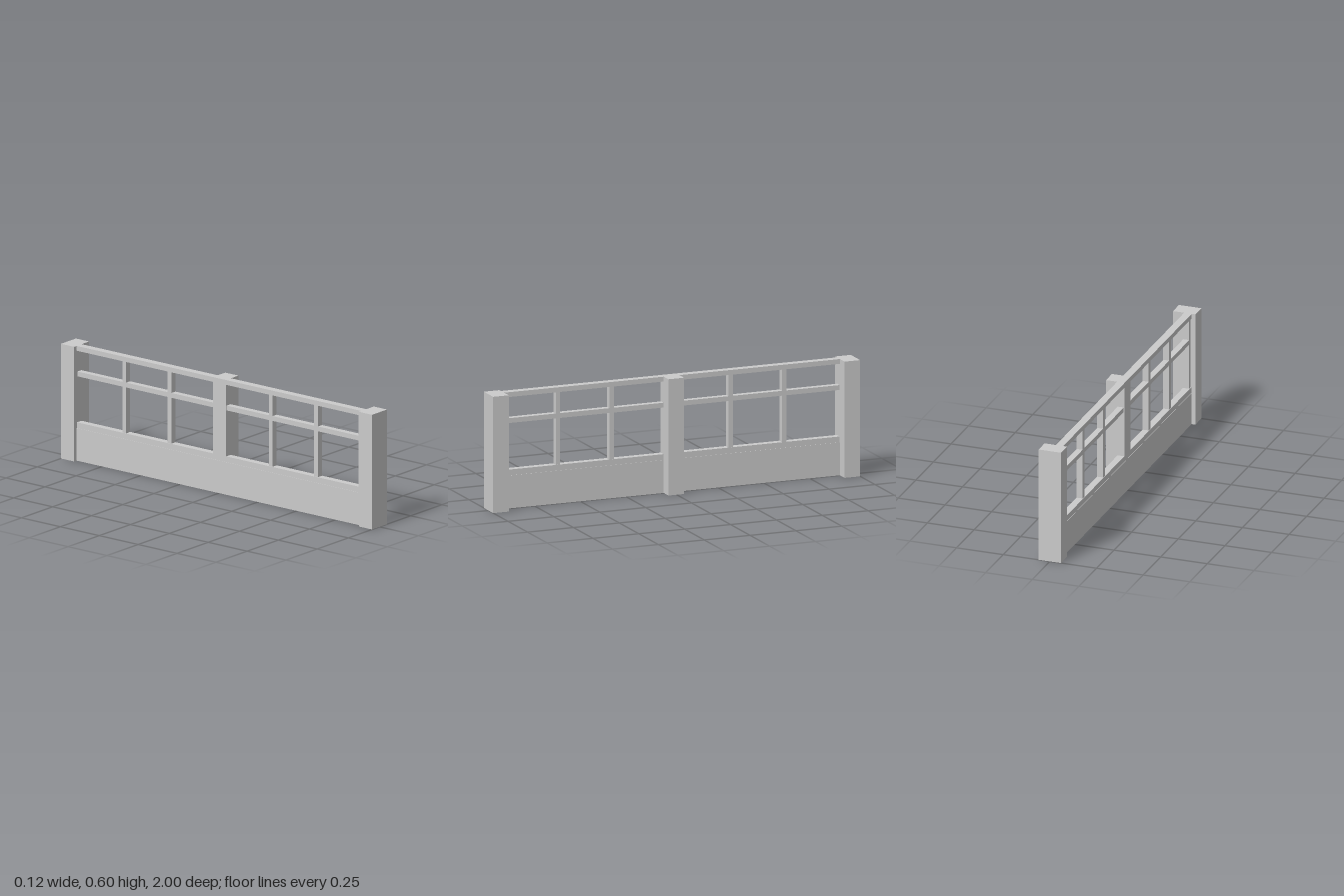
import * as THREE from 'three';

export function createModel() {
  const group = new THREE.Group();
  const material = new THREE.MeshStandardMaterial({ color: 0xcccccc, flatShading: true });

  // Box given by its min and max on each axis
  const box = (name, [x0, x1], [y0, y1], [z0, z1]) => {
    const mesh = new THREE.Mesh(new THREE.BoxGeometry(x1 - x0, y1 - y0, z1 - z0), material);
    mesh.position.set((x0 + x1) / 2, (y0 + y1) / 2, (z0 + z1) / 2);
    mesh.name = name;
    group.add(mesh);
  };

  const wall = [-0.04, 0];
  const bar = [-0.035, -0.003];
  const post = [-0.04, 0.045];
  const end = 0.915;

  // Posts: one at each end, one on the +x side in the middle
  box('endPostFront', [-0.06, 0.06], [0, 0.6], [end, 1]);
  box('endPostBack', [-0.06, 0.06], [0, 0.6], [-1, -end]);
  box('middlePost', [0, 0.06], [0, 0.6], post);

  // Solid lower panel and the stile behind the middle post
  box('lowerPanel', wall, [0, 0.17], [-end, end]);
  box('middleStile', wall, [0.2, 0.575], post);

  // Horizontal rails
  box('sillRail', [-0.038, -0.002], [0.17, 0.2], [-end, end]);
  box('topRail', wall, [0.575, 0.6], [-end, end]);
  for (const [z0, z1] of [[-end, post[0]], [post[1], end]]) {
    box('middleRail', bar, [0.44, 0.465], [z0, z1]);
  }

  // Upright bars between the sill and the top rail
  for (const z of [-0.613, -0.322, 0.328, 0.62]) {
    box('uprightBar', bar, [0.2, 0.575], [z - 0.012, z + 0.012]);
  }
  box('endStile', bar, [0.2, 0.575], [0.893, end]);

  return group;
}
